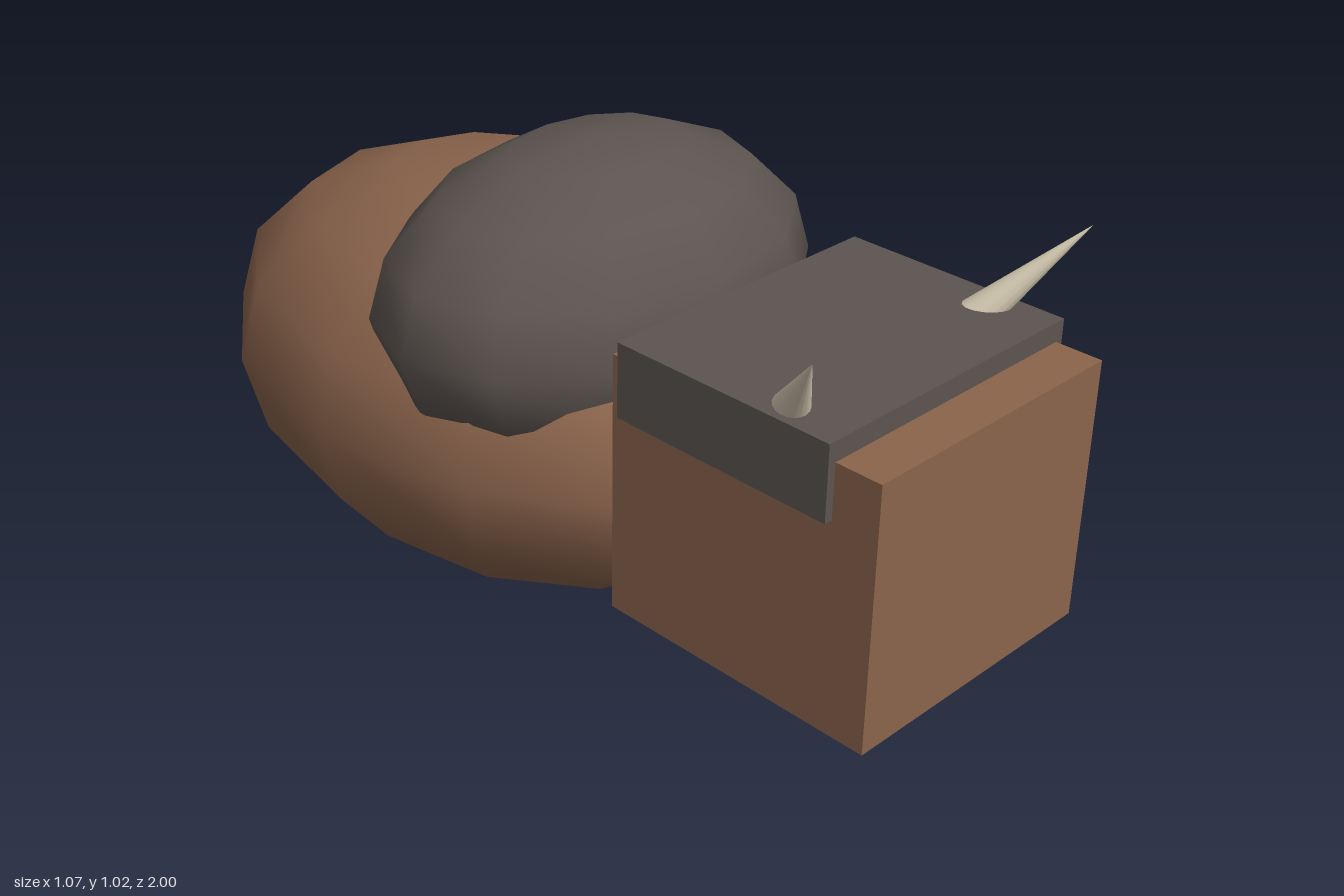
import * as THREE from 'three';

export function createModel() {
  const group = new THREE.Group();
  const material = (name, color) => {
    const m = new THREE.MeshStandardMaterial({ color });
    m.name = name;
    return m;
  };
  const hide = material('brown hide', 0x8b644c);
  const fur = material('dark fur', 0x5c5450);
  const bone = material('horn bone', 0xd9cfb6);

  const add = (name, geometry, mat, x, y, z) => {
    const mesh = new THREE.Mesh(geometry, mat);
    mesh.name = name;
    mesh.position.set(x, y, z);
    group.add(mesh);
    return mesh;
  };
  const ellipsoid = (rx, ry, rz) => new THREE.SphereGeometry(1, 12, 8).scale(rx, ry, rz);

  // Body and shoulder hump
  add('body', ellipsoid(0.537, 0.443, 0.75), hide, 0, 0.445, -0.25);
  add('shoulderHump', ellipsoid(0.512, 0.327, 0.375), fur, 0, 0.7, 0);

  // Blocky head with a fur cap
  add('head', new THREE.BoxGeometry(0.624, 0.556, 0.63), hide, 0, 0.508, 0.685);
  add('furCap', new THREE.BoxGeometry(0.66, 0.156, 0.5), fur, 0, 0.75, 0.65);

  // Horns, rooted in the cap and leaning out and forward
  const up = new THREE.Vector3(0, 1, 0);
  for (const side of [1, -1]) {
    const root = new THREE.Vector3(side * 0.25, 0.783, 0.738);
    const tip = new THREE.Vector3(side * 0.388, 1.0, 0.902);
    const axis = tip.clone().sub(root);
    const mid = root.clone().add(tip).multiplyScalar(0.5);
    const horn = add(side > 0 ? 'leftHorn' : 'rightHorn',
      new THREE.ConeGeometry(0.042, axis.length(), 16), bone, mid.x, mid.y, mid.z);
    horn.quaternion.setFromUnitVectors(up, axis.normalize());
  }
  return group;
}
